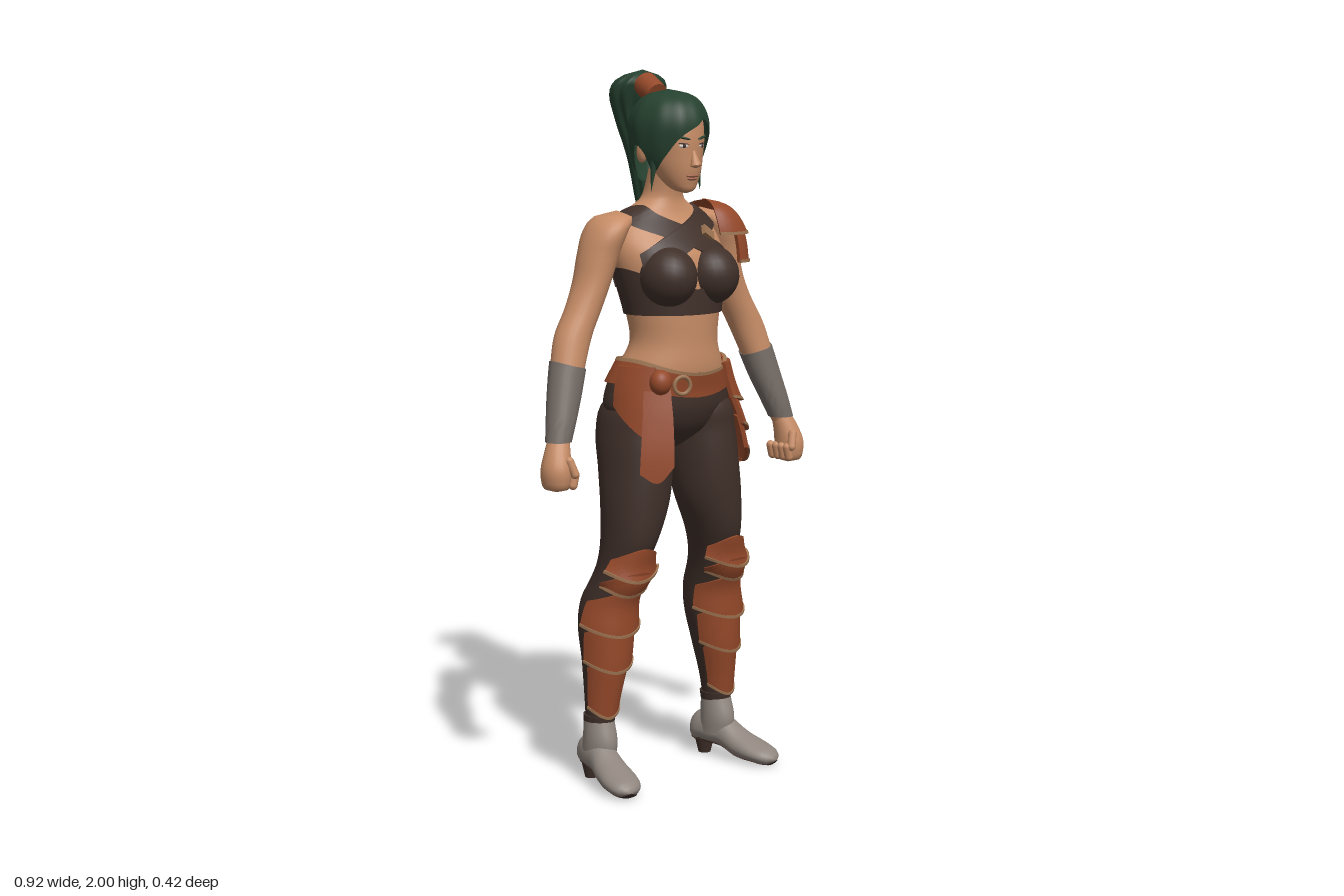
import * as THREE from 'three';
import { mergeVertices, toCreasedNormals } from 'three/addons/utils/BufferGeometryUtils.js';

const mat = (name, color, side = THREE.FrontSide) => {
  const m = new THREE.MeshStandardMaterial({ color, side });
  m.name = name;
  return m;
};
const D = THREE.DoubleSide, PI = Math.PI;

// Smooth interpolation through rows [key, ...values]
function sample(rows, k) {
  const n = rows.length - 1;
  let i = 0;
  while (i < n - 1 && k > rows[i + 1][0]) i++;
  const p = rows[i], q = rows[i + 1], h = q[0] - p[0];
  const t = Math.min(1, Math.max(0, (k - p[0]) / h));
  const slope = (j, c) => {
    const a = rows[Math.max(0, j - 1)], b = rows[Math.min(n, j + 1)];
    return (b[c] - a[c]) / (b[0] - a[0]);
  };
  return p.slice(1).map((v, c0) => {
    const c = c0 + 1, t2 = t * t, t3 = t2 * t;
    return v * (2 * t3 - 3 * t2 + 1) + q[c] * (3 * t2 - 2 * t3)
      + h * ((t3 - 2 * t2 + t) * slope(i, c) + (t3 - t2) * slope(i + 1, c));
  });
}

// Point on a body of sections [y, cx, cz, halfWidth, front, back]; angle 0 is +z, PI/2 is +x
function onBody(secs, y, a, off = 0, ripple = 0) {
  const [cx, cz, rx, rf, rb] = sample(secs, y);
  const c = Math.cos(a), k = 1 + ripple * Math.sin(11 * a);
  const r = (v) => Math.max(0, v * k) + off;
  return [cx + r(rx) * Math.sin(a), y, cz + r(c > 0 ? rf : rb) * c];
}

// Skin over part of a body; t > 0 gives it a turned-in rim like a plate
function patchGeometry(secs, o = {}) {
  const { y0 = secs[0][0], y1 = secs[secs.length - 1][0], a0 = -PI, a1 = PI, off = 0, t = 0, nu = 32, nv = 24, ripple = 0 } = o;
  const edge = (e, a) => (typeof e === 'number' ? e : sample(e, a)[0]);
  const pad = t > 0 ? 1 : 0, pos = [], idx = [], w = nu + 1 + 2 * pad;
  for (let j = -pad; j <= nv + pad; j++) for (let i = -pad; i <= nu + pad; i++) {
    const u = Math.min(1, Math.max(0, i / nu)), v = Math.min(1, Math.max(0, j / nv));
    const rim = i < 0 || j < 0 || i > nu || j > nv;
    const a = a0 + (a1 - a0) * u, lo = edge(y0, a), hi = edge(y1, a);
    const f = Array.isArray(off) ? off[0] + (off[1] - off[0]) * v : off;
    pos.push(...onBody(secs, lo + (hi - lo) * v, a, rim ? f - t : f, ripple));
  }
  for (let j = 0; j < nv + 2 * pad; j++) for (let i = 0; i < w - 1; i++) {
    const p = j * w + i;
    idx.push(p, p + 1, p + w + 1, p, p + w + 1, p + w);
  }
  let g = new THREE.BufferGeometry();
  g.setAttribute('position', new THREE.Float32BufferAttribute(pos, 3));
  g.setIndex(idx);
  g = mergeVertices(g);
  g.computeVertexNormals();
  return t > 0 ? toCreasedNormals(g, 0.7) : g;
}

const mirrored = (secs, s) => secs.map(([y, cx, ...r]) => [y, cx * s, ...r]);
const flipEdge = (e, s) => (s > 0 ? e : e.map(([a, y]) => [-a, y]).reverse());
const span = (a0, a1, s) => (s > 0 ? { a0, a1 } : { a0: -a1, a1: -a0 });

const TORSO = [[.95, 0, .02, .02, .04, .04], [1, 0, .02, .14, .1, .1], [1.06, 0, .02, .192, .13, .122], [1.12, 0, .02, .188, .135, .118],
  [1.18, 0, .03, .165, .135, .1], [1.25, 0, .05, .135, .113, .092], [1.33, 0, .05, .143, .113, .105], [1.42, 0, .04, .163, .12, .12],
  [1.5, 0, .02, .178, .125, .113], [1.56, 0, 0, .17, .1, .09], [1.6, 0, -.005, .135, .078, .075], [1.63, 0, 0, .085, .064, .06],
  [1.65, 0, .004, .06, .058, .055], [1.73, 0, .025, .05, .05, .05]];
const ARM = [[1.615, .15, -.01, 0, 0, 0], [1.6, .16, -.01, .05, .055, .055], [1.56, .19, -.01, .056, .076, .07], [1.5, .213, -.01, .056, .066, .064],
  [1.42, .238, -.01, .052, .058, .056], [1.35, .27, -.005, .053, .05, .05], [1.28, .308, 0, .055, .049, .047], [1.2, .337, .014, .05, .045, .045],
  [1.12, .362, .03, .045, .042, .042], [1.05, .385, .046, .038, .037, .037], [.98, .407, .06, .03, .03, .03]].reverse();
const HAND = [[.865, .418, .07, 0, 0, 0], [.872, .419, .07, .028, .034, .034], [.895, .42, .07, .038, .046, .044], [.93, .42, .07, .04, .047, .044],
  [.97, .412, .065, .036, .038, .036], [1.01, .4, .056, .029, .029, .029]];
const LEG = [[.17, .215, -.012, .035, .04, .042], [.25, .21, -.01, .042, .05, .055], [.35, .2, -.01, .056, .066, .072], [.45, .193, -.012, .069, .078, .09],
  [.52, .186, -.008, .067, .082, .09], [.58, .175, .015, .062, .085, .085], [.63, .165, .03, .063, .08, .08], [.7, .152, .045, .073, .094, .09],
  [.8, .132, .045, .093, .105, .1], [.9, .12, .03, .1, .122, .105], [1, .112, .02, .1, .125, .122], [1.08, .1, .02, .088, .112, .108], [1.15, .1, .02, 0, 0, 0]];
const HEAD = [[1.662, 0, .11, 0, 0, 0], [1.668, 0, .105, .022, .022, .03], [1.685, 0, .09, .042, .044, .045], [1.72, 0, .07, .062, .072, .06],
  [1.76, 0, .055, .075, .09, .08], [1.82, 0, .05, .083, .096, .1], [1.88, 0, .045, .078, .088, .09], [1.92, 0, .04, .05, .06, .06], [1.935, 0, .04, 0, 0, 0]];
const HAIR = [[1.68, -.003, .02, .06, .09, .07], [1.74, -.004, .03, .09, .112, .1], [1.8, -.005, .035, .104, .123, .112], [1.86, -.005, .035, .106, .125, .112],
  [1.91, -.003, .035, .085, .1, .088], [1.935, 0, .032, .052, .06, .055], [1.947, 0, .03, 0, 0, 0]];
const TAIL = [[1.485, .1, -.165, 0, 0, 0], [1.53, .1, -.165, .028, .022, .02], [1.62, .09, -.16, .045, .038, .035], [1.75, .07, -.15, .06, .047, .05],
  [1.87, .045, -.15, .08, .05, .06], [1.94, .03, -.14, .087, .06, .065], [1.98, .025, -.122, .062, .05, .052], [2, .025, -.115, 0, 0, 0]];
const SKIRT = [[.84, .02, .04, .24, .155, .14], [.95, .015, .04, .232, .16, .135], [1.05, .008, .035, .212, .158, .132], [1.13, 0, .03, .19, .15, .125], [1.21, 0, .03, .165, .145, .11]];
const PAULDRON = [[1.45, .19, 0, .092, .106, .1], [1.52, .187, 0, .09, .102, .1], [1.57, .178, 0, .082, .094, .092], [1.61, .168, 0, .062, .074, .072], [1.628, .163, 0, .035, .045, .045], [1.637, .16, 0, 0, 0, 0]];
// Foot runs heel to toe: [length, x, -height, halfWidth, down, up]
const FOOT = [[-.1, 0, -.068, 0, 0, 0], [-.09, 0, -.072, .03, .032, .04], [-.045, 0, -.075, .042, .038, .06], [.02, 0, -.068, .042, .036, .056],
  [.08, .002, -.045, .05, .034, .042], [.14, .004, -.032, .052, .026, .03], [.185, .002, -.025, .036, .02, .02], [.208, 0, -.022, 0, 0, 0]];

export function createModel() {
  const M = {
    skin: mat('skin', 0xc68c66), leather: mat('leather armour', 0x95492a, D), cloth: mat('dark cloth', 0x40302a, D),
    hair: mat('green hair', 0x26412f, D), wrap: mat('grey wraps', 0x746b65, D), boot: mat('boot suede', 0x90867f, D),
    trim: mat('tan trim', 0x9c7452, D), lips: mat('lips', 0xa0644c), eye: mat('eye white', 0xd8cfc6),
  };
  const model = new THREE.Group();
  model.name = 'warrior';
  const add = (name, material, geometry, parent = model) => {
    const m = new THREE.Mesh(geometry, material);
    m.name = name;
    parent.add(m);
    return m;
  };
  const patch = (name, material, secs, o) => add(name, material, patchGeometry(secs, o));
  const ball = (name, material, p, scale, rz = 0) => {
    const m = add(name, material, new THREE.SphereGeometry(1, 24, 16));
    m.position.set(...p); m.scale.set(...scale); m.rotation.z = rz;
    return m;
  };
  // Plate with a thin border along its lower edge
  const plate = (name, secs, o) => {
    patch(name, M.leather, secs, { t: .012, nu: 24, nv: 8, ...o });
    const lift = (e, d) => (typeof e === 'number' ? e + d : e.map(([a, y]) => [a, y + d]));
    const f = (Array.isArray(o.off) ? o.off[0] : o.off) + .003;
    patch(name + 'Trim', M.trim, secs, { ...o, y1: lift(o.y0, .008), off: f, t: .006, nu: 24, nv: 1 });
  };

  // Trunk, neck and trousers
  patch('torso', M.skin, TORSO, { y0: 1.13, nv: 48, nu: 40 });
  patch('trousersSeat', M.cloth, TORSO, { y1: 1.17, off: .004, nu: 40 });

  // Wrapped top with straps crossing front and back
  patch('topBand', M.cloth, TORSO, { y0: 1.33, y1: [[-PI, 1.43], [-1.5, 1.46], [-.5, 1.42], [0, 1.4], [.5, 1.42], [1.5, 1.46], [PI, 1.43]], off: .007, t: .006, nu: 48, nv: 8 });
  for (const s of [1, -1]) {
    ball('topCup', M.cloth, [s * .075, 1.435, .122], [.08, .084, .088], s * .15);
    patch('crossStrap', M.cloth, TORSO, {
      ...span(-4.05, .95, s), off: s > 0 ? .008 : .012, t: .01, nu: 56, nv: 5,
      y0: flipEdge([[-4.05, 1.4], [-3.14, 1.49], [-2.3, 1.56], [-1.57, 1.59], [-.9, 1.57], [0, 1.515], [.95, 1.42]], s),
      y1: flipEdge([[-4.05, 1.47], [-3.14, 1.555], [-2.3, 1.6], [-1.57, 1.627], [-.9, 1.622], [0, 1.575], [.95, 1.5]], s),
    });
  }

  // Arms, wraps and fists
  for (const s of [1, -1]) {
    const arm = mirrored(ARM, s);
    patch('arm', M.skin, arm, { nv: 40, nu: 24 });
    patch('forearmWrap', M.wrap, arm, { y0: 1, y1: flipEdge([[-PI, 1.2], [-1.6, 1.185], [0, 1.2], [1.6, 1.215], [PI, 1.2]], s), off: .004, t: .004, nu: 28, nv: 12 });
    patch('hand', M.skin, mirrored(HAND, s), { nu: 20, nv: 16 });
    const digit = (name, x, y, z, r, l, rx, rz) => {
      const m = add(name, M.skin, new THREE.CapsuleGeometry(r, l, 4, 10));
      m.position.set(s * x, y, z); m.rotation.set(rx, 0, s * rz);
    };
    for (let i = 0; i < 4; i++) digit('finger', .386, .9, .034 + i * .024, .0125, .03, 0, .25);
    digit('thumb', .396, .935, .112, .012, .04, -.25, -.3);
  }

  // Legs with knee guards and layered shin plates
  for (const s of [1, -1]) {
    const leg = mirrored(LEG, s);
    patch('trouserLeg', M.cloth, leg, { nv: 48, nu: 28 });
    const guard = (name, y, top, w, off) => plate(name, leg, {
      ...span(-w + .12, w + .12, s), off,
      y0: flipEdge([[-w + .12, y + .03], [.12, y], [w + .12, y + .03]], s),
      y1: flipEdge([[-w + .12, top - .03], [.12, top], [w + .12, top - .03]], s),
    });
    guard('shinPlateLower', .19, .37, 1.3, [.012, .012]);
    guard('shinPlateMiddle', .325, .47, 1.35, [.021, .012]);
    guard('shinPlateUpper', .43, .56, 1.4, [.024, .014]);
    guard('kneeGuardLower', .545, .62, 1.15, [.02, .03]);
    guard('kneeGuard', .59, .685, 1.1, [.034, .012]);
    patch('ankleBand', M.cloth, leg, { y0: .17, y1: .195, off: .006, t: .006, nv: 3 });

    // Boots turned outward
    const foot = new THREE.Group();
    foot.name = 'boot';
    foot.position.set(s * .222, 0, 0);
    foot.rotation.y = s * .22;
    model.add(foot);
    add('bootFoot', M.boot, patchGeometry(FOOT, { nu: 24, nv: 32 }).rotateX(PI / 2), foot);
    add('bootSole', M.cloth, patchGeometry(FOOT, { a0: -.75, a1: .75, off: .003, t: .004, nu: 12, nv: 28 }).rotateX(PI / 2), foot);
    const heel = add('bootHeel', M.cloth, new THREE.CylinderGeometry(.03, .018, .05, 16), foot);
    heel.position.set(0, .025, -.058);
    patch('bootShaft', M.boot, mirrored([[.07, .216, -.015, .042, .06, .062], [.12, .216, -.008, .044, .06, .055], [.18, .215, -.012, .041, .047, .048]], s), { nv: 10 });
  }

  // Waist sash, buckle and hanging tails
  const sashTop = [[-PI, 1.19], [-1.3, 1.205], [0, 1.165], [1.3, 1.2], [PI, 1.19]];
  const shift = (d) => sashTop.map(([a, y]) => [a, y + d]);
  patch('sash', M.leather, TORSO, { y0: shift(-.065), y1: sashTop, off: .014, t: .012, nu: 56, nv: 6 });
  patch('sashTrim', M.trim, TORSO, { y0: shift(-.004), y1: shift(.005), off: .016, t: .01, nu: 56, nv: 1 });
  const buckle = add('buckle', M.trim, new THREE.TorusGeometry(.024, .006, 8, 20));
  buckle.position.set(-.07, 1.14, .182); buckle.rotation.y = -.25;
  ball('sashKnot', M.leather, [-.125, 1.15, .155], [.032, .035, .03]);
  patch('sashTailFront', M.leather, SKIRT, { a0: -.93, a1: -.52, y0: [[-.93, .9], [-.7, .875], [-.52, .92]], y1: 1.15, off: [.03, .008], t: .01, nu: 10, nv: 12 });
  patch('sashTailSide', M.leather, SKIRT, { a0: -1.5, a1: -.8, y0: [[-1.5, 1.08], [-1.1, 1.02], [-.8, .98]], y1: 1.19, off: [.006, .012], t: .01, nu: 12, nv: 10 });

  // Layered hip plates on the left
  plate('hipPlateLower', SKIRT, { a0: .95, a1: 2.4, y0: [[.95, .935], [1.5, .88], [2.4, .92]], y1: 1.02, off: [.004, 0] });
  plate('hipPlateMiddle', SKIRT, { a0: .75, a1: 2.5, y0: [[.75, 1.01], [1.5, .97], [2.5, 1]], y1: 1.1, off: [.012, .004] });
  plate('hipPlateUpper', SKIRT, { a0: .55, a1: 2.55, y0: [[.55, 1.09], [1.5, 1.06], [2.55, 1.08]], y1: 1.19, off: [.018, .014] });

  // Shoulder guard on the left
  plate('shoulderPlateLower', PAULDRON, { a0: .1, a1: PI - .1, y0: 1.46, y1: 1.56, off: [.004, 0] });
  plate('shoulderPlateUpper', PAULDRON, { a0: -.5, a1: PI + .5, y0: 1.54, y1: 1.637, off: [.009, .003], nv: 14 });
  const clasp = add('shoulderClasp', M.trim, new THREE.BoxGeometry(.045, .03, .012));
  clasp.position.set(.075, 1.55, .115); clasp.rotation.set(-.5, .4, -.4);

  // Head and face
  patch('head', M.skin, HEAD, { nu: 36, nv: 40 });
  const nose = add('nose', M.skin, new THREE.ConeGeometry(.016, .055, 12));
  nose.position.set(0, 1.765, .147); nose.rotation.x = -.25;
  ball('noseTip', M.skin, [0, 1.743, .152], [.014, .01, .014]);
  ball('upperLip', M.lips, [0, 1.711, .139], [.021, .0045, .008]);
  ball('lowerLip', M.lips, [0, 1.703, .137], [.017, .005, .008]);
  for (const s of [1, -1]) {
    const at = (y, a, off) => onBody(HEAD, y, a * s, off);
    ball('eye', M.eye, at(1.793, .4, -.001), [.014, .0055, .004]).rotation.y = s * .35;
    ball('iris', M.cloth, at(1.793, .39, .002), [.005, .0055, .003]);
    ball('eyelid', M.cloth, at(1.799, .4, .001), [.016, .002, .004], s * .1).rotation.y = s * .35;
    ball('brow', M.hair, at(1.815, .4, .001), [.021, .0035, .005], s * .22).rotation.y = s * .35;
    ball('ear', M.skin, [s * .085, 1.775, .022], [.012, .03, .02]);
  }

  // Swept hair, fringe and ponytail
  patch('hairCap', M.hair, HAIR, {
    nu: 72, nv: 20, ripple: .012,
    y0: [[-PI, 1.69], [-2.1, 1.71], [-1.75, 1.79], [-1.45, 1.78], [-1.2, 1.72], [-.85, 1.76], [-.45, 1.815], [0, 1.845], [.35, 1.865],
      [.75, 1.83], [1.05, 1.77], [1.25, 1.72], [1.45, 1.78], [1.75, 1.79], [2.1, 1.71], [PI, 1.69]],
  });
  for (const s of [1, -1]) {
    const lock = add('sideLock', M.hair, new THREE.ConeGeometry(.016, .12, 10));
    lock.position.set(s * .08 - .004, 1.725, .07); lock.rotation.set(PI, 0, s * -.12);
  }
  const tie = add('hairTie', M.leather, new THREE.CylinderGeometry(.036, .032, .07, 20));
  tie.position.set(.008, 1.945, -.055); tie.rotation.set(-1.15, 0, -.1);
  patch('ponytail', M.hair, TAIL, { nu: 66, nv: 36, ripple: .05 });
  return model;
}
